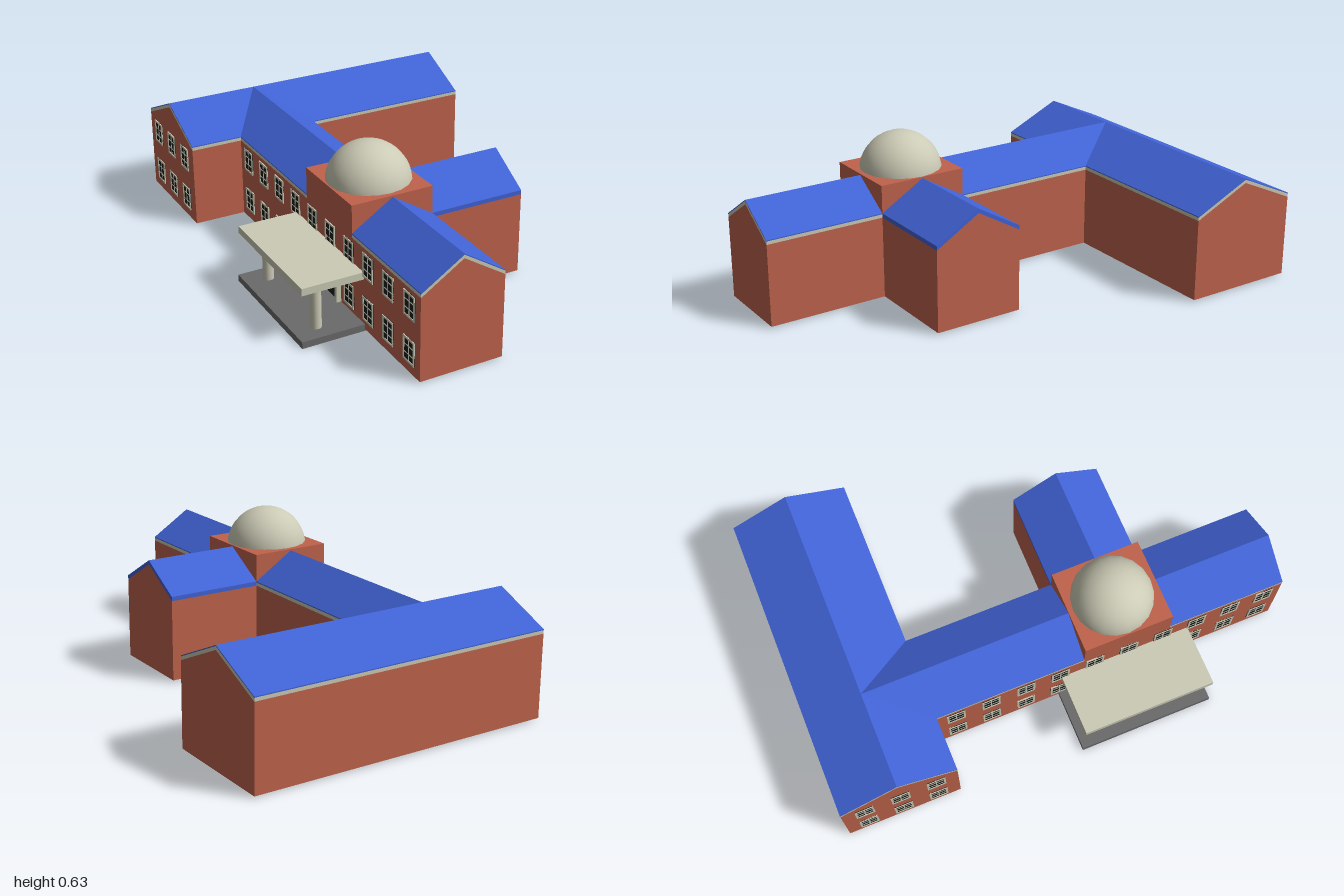
import * as THREE from 'three';

const paint = (color) => new THREE.MeshStandardMaterial({ color });
const BRICK = paint(0xc0634c), BLUE = paint(0x4163d6), STONE = paint(0xcccbb6);
const GREY = paint(0x6a6a6c), DARK = paint(0x1c2020);

const GROUND = 0.01, EAVE = 0.37, RIDGE = 0.48, TRIM = 0.018, SKIN = 0.004;

function add(parent, name, geometry, material, x = 0, y = 0, z = 0) {
  const mesh = new THREE.Mesh(geometry, material);
  mesh.name = name;
  mesh.position.set(x, y, z);
  parent.add(mesh);
  return mesh;
}

// Box given by its minimum and maximum corners
function block(parent, name, material, a, b) {
  const size = a.map((v, i) => b[i] - v);
  const mid = a.map((v, i) => (v + b[i]) / 2);
  return add(parent, name, new THREE.BoxGeometry(...size), material, ...mid);
}

function extrude(points, depth) {
  const shape = new THREE.Shape(points.map(([x, y]) => new THREE.Vector2(x, y)));
  return new THREE.ExtrudeGeometry(shape, { depth, bevelEnabled: false });
}

// Band that follows the roof slope, from a depth below its surface to another
function chevron(w, top, bottom, length) {
  return extrude([
    [-w, EAVE - bottom], [0, RIDGE - bottom], [w, EAVE - bottom],
    [w, EAVE - top], [0, RIDGE - top], [-w, EAVE - top],
  ], length);
}

// Brick wing with gable ends, running along +z from its origin
function wing(name, width, length, trimMaterial) {
  const g = new THREE.Group();
  g.name = name;
  const w = width / 2;
  add(g, 'walls', extrude([
    [-w, GROUND], [w, GROUND], [w, EAVE - TRIM], [0, RIDGE - TRIM], [-w, EAVE - TRIM],
  ], length), BRICK);
  add(g, 'roofTrim', chevron(w, SKIN, TRIM, length), trimMaterial);
  add(g, 'roof', chevron(w, 0, SKIN, length), BLUE);
  return g;
}

// Window facing -x: stone frame and bars around a dark pane
function windowUnit(x, y, z) {
  const g = new THREE.Group();
  g.name = 'window';
  g.position.set(x, y, z);
  const w = 0.078, h = 0.1, bar = 0.008, out = 0.005;
  add(g, 'pane', new THREE.BoxGeometry(0.003, h, w), DARK, -0.001);
  for (const s of [-1, 1]) {
    add(g, 'frameSide', new THREE.BoxGeometry(out, h, bar), STONE, -out / 2, 0, s * (w - bar) / 2);
    add(g, 'frameRail', new THREE.BoxGeometry(out, bar, w), STONE, -out / 2, s * (h - bar) / 2, 0);
    add(g, 'crossBar', new THREE.BoxGeometry(out * 0.8, 0.004, w), STONE, -out * 0.4, s * h / 6, 0);
  }
  add(g, 'middleBar', new THREE.BoxGeometry(out * 0.8, h, 0.005), STONE, -out * 0.4);
  return g;
}

export function createModel() {
  const model = new THREE.Group();
  model.name = 'building';
  const L = -0.408, R = -0.062, midX = (L + R) / 2;
  const towerBack = 0.12, towerFront = 0.497, towerZ = (towerBack + towerFront) / 2;

  // Long hall, in two parts on either side of the tower
  const front = wing('frontWing', R - L, 1 - towerFront, STONE);
  front.position.set(midX, 0, towerFront);
  const link = wing('linkWing', R - L, towerBack + 0.757, STONE);
  link.position.set(midX, 0, -0.757);

  // Cross wing at the back and side wing at the tower
  const back = wing('backWing', 0.486, 1.297, STONE);
  back.rotation.y = Math.PI / 2;
  back.position.set(-0.63, 0, -0.757);
  const side = wing('sideWing', towerFront - towerBack, 0.345 - R, BLUE);
  side.rotation.y = Math.PI / 2;
  side.position.set(R, 0, towerZ);
  model.add(front, link, back, side);

  // Square tower and dome
  block(model, 'tower', BRICK, [L, GROUND, towerBack], [R, 0.485, towerFront]);
  add(model, 'dome', new THREE.SphereGeometry(0.17, 20, 10, 0, Math.PI * 2, 0, Math.PI / 2),
    STONE, midX, 0.463, towerZ);

  // Porch: base, canopy and columns
  block(model, 'porchBase', GREY, [-0.67, 0.003, 0.018], [-0.408, 0.031, 0.595]);
  block(model, 'porchFooting', GREY, [-0.67, 0.003, 0.018], [-0.19, 0.012, 0.595]);
  block(model, 'porchCanopy', STONE, [-0.663, 0.22, 0.025], [L, 0.25, 0.587]);
  for (const s of [-1, 1]) {
    add(model, 'porchColumn', new THREE.CylinderGeometry(0.022, 0.022, 0.19, 16), STONE,
      -0.575, 0.125, towerZ + s * 0.21);
  }

  // Doorway with a stone surround
  const door = new THREE.Group();
  door.name = 'doorway';
  block(door, 'doors', DARK, [L - 0.006, 0.03, towerZ - 0.08], [L + 0.004, 0.18, towerZ + 0.08]);
  for (const s of [-1, 1]) {
    const z = towerZ + s * 0.085;
    block(door, 'doorPost', STONE, [L - 0.02, 0.03, z - 0.009], [L, 0.19, z + 0.009]);
  }
  block(door, 'doorLintel', STONE, [L - 0.02, 0.174, towerZ - 0.094], [L, 0.19, towerZ + 0.094]);
  model.add(door);

  // Two rows of windows along the porch side
  for (const y of [0.1, 0.285]) {
    for (let i = 0; i < 3; i++) model.add(windowUnit(-0.63, y, -0.757 + (i - 1) * 0.15));
    for (let i = 0; i < 10; i++) {
      const z = -0.435 + i * 0.151;
      if (y < 0.2 && Math.abs(z - towerZ) < 0.13) continue;
      model.add(windowUnit(L, y, z));
    }
  }
  return model;
}
